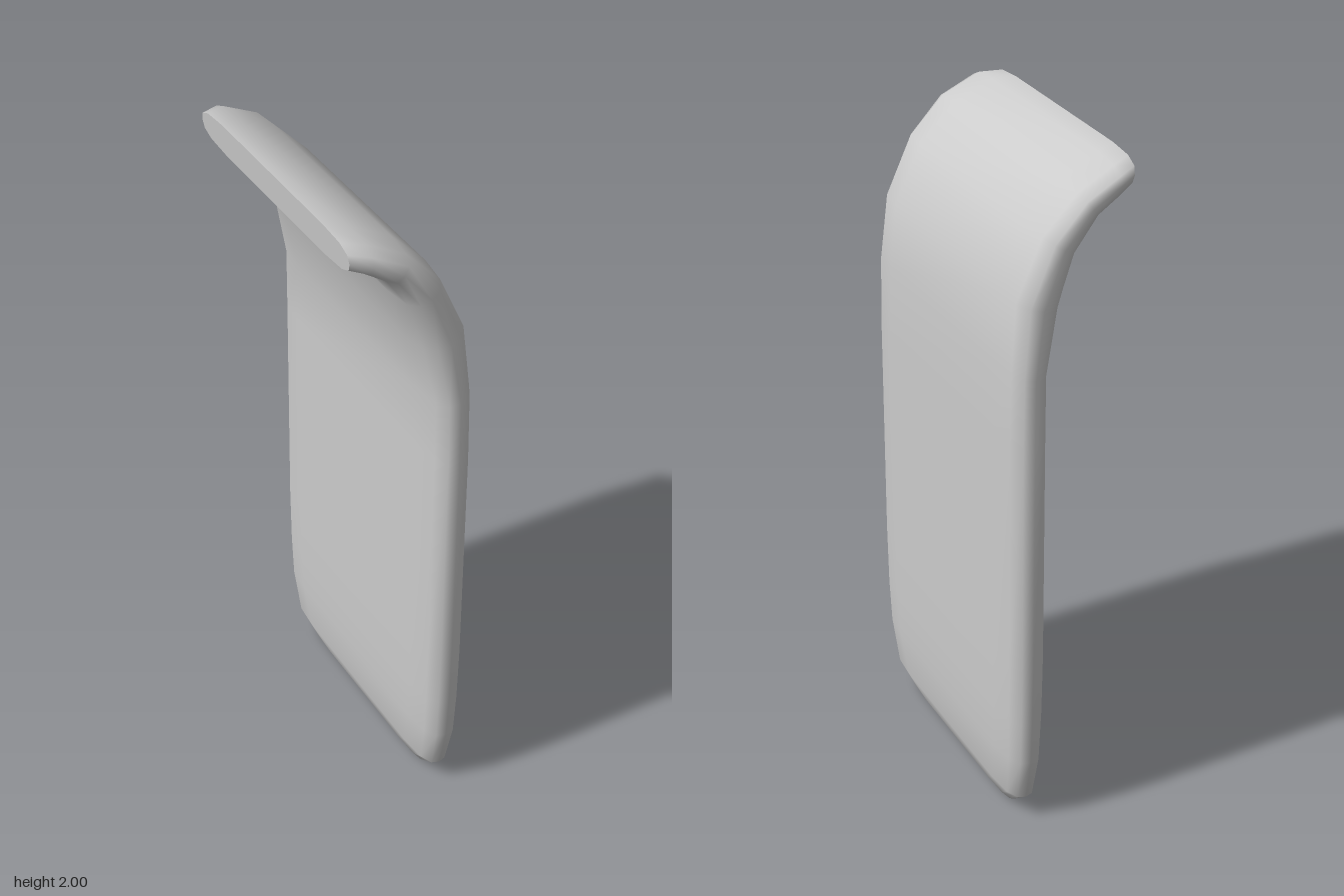
import * as THREE from 'three';

// Stations along the panel: outer x, y, inner x, y, half width
const STATIONS = [
  [0.128, 0.004, 0.122, 0.004, 0.25],
  [0.147, 0.018, 0.103, 0.018, 0.35],
  [0.172, 0.08, 0.080, 0.08, 0.43],
  [0.184, 0.22, 0.069, 0.22, 0.46],
  [0.188, 0.36, 0.066, 0.36, 0.468],
  [0.189, 0.55, 0.065, 0.55, 0.473],
  [0.189, 1.25, 0.065, 1.25, 0.473],
  [0.185, 1.46, 0.064, 1.44, 0.472],
  [0.168, 1.66, 0.025, 1.62, 0.46],
  [0.090, 1.83, -0.020, 1.77, 0.457],
  [-0.015, 1.937, -0.078, 1.858, 0.455],
  [-0.130, 1.993, -0.134, 1.894, 0.446],
  [-0.189, 2.0, -0.180, 1.906, 0.415],
];

// Rounded edge of the cross-section: side (1 outer, -1 inner), inset from the edge
const EDGE = [[1, 0.13], [0.85, 0.045], [0.5, 0.008], [0, 0], [-0.5, 0.008], [-0.85, 0.045], [-1, 0.13]];
const N = EDGE.length * 2;

function ringPoints([ox, oy, ix, iy, half]) {
  const point = ([s, inset], sign) => new THREE.Vector3(
    (ox + ix) / 2 + s * (ox - ix) / 2,
    (oy + iy) / 2 + s * (oy - iy) / 2,
    sign * (half - inset));
  return [
    ...EDGE.map(e => point(e, -1)),
    ...[...EDGE].reverse().map(e => point(e, 1)),
  ];
}

function buildGeometry(points, index) {
  const geometry = new THREE.BufferGeometry().setFromPoints(points);
  geometry.setIndex(index);
  geometry.computeVertexNormals();
  return geometry;
}

const centre = ring => ring.reduce((sum, p) => sum.add(p), new THREE.Vector3()).divideScalar(ring.length);

export function createModel() {
  const group = new THREE.Group();
  group.name = 'curvedPanel';
  const material = new THREE.MeshStandardMaterial({ color: 0xcccccc });
  const rings = STATIONS.map(ringPoints);

  // Smooth shell with a closed bottom edge
  const points = rings.flat();
  const index = [];
  for (let i = 0; i < rings.length - 1; i++) {
    for (let j = 0; j < N; j++) {
      const a = i * N + j, b = i * N + (j + 1) % N;
      index.push(a, b, b + N, a, b + N, a + N);
    }
  }
  const bottom = points.push(centre(rings[0])) - 1;
  for (let j = 0; j < N; j++) index.push(bottom, (j + 1) % N, j);
  const panel = new THREE.Mesh(buildGeometry(points, index), material);
  panel.name = 'panel';
  group.add(panel);

  // Flat end face of the bent lip, with its own vertices for a sharp rim
  const tip = rings[rings.length - 1];
  const capIndex = [];
  for (let j = 0; j < N; j++) capIndex.push(N, j, (j + 1) % N);
  const lipEnd = new THREE.Mesh(buildGeometry([...tip, centre(tip)], capIndex), material);
  lipEnd.name = 'lipEnd';
  group.add(lipEnd);

  return group;
}
